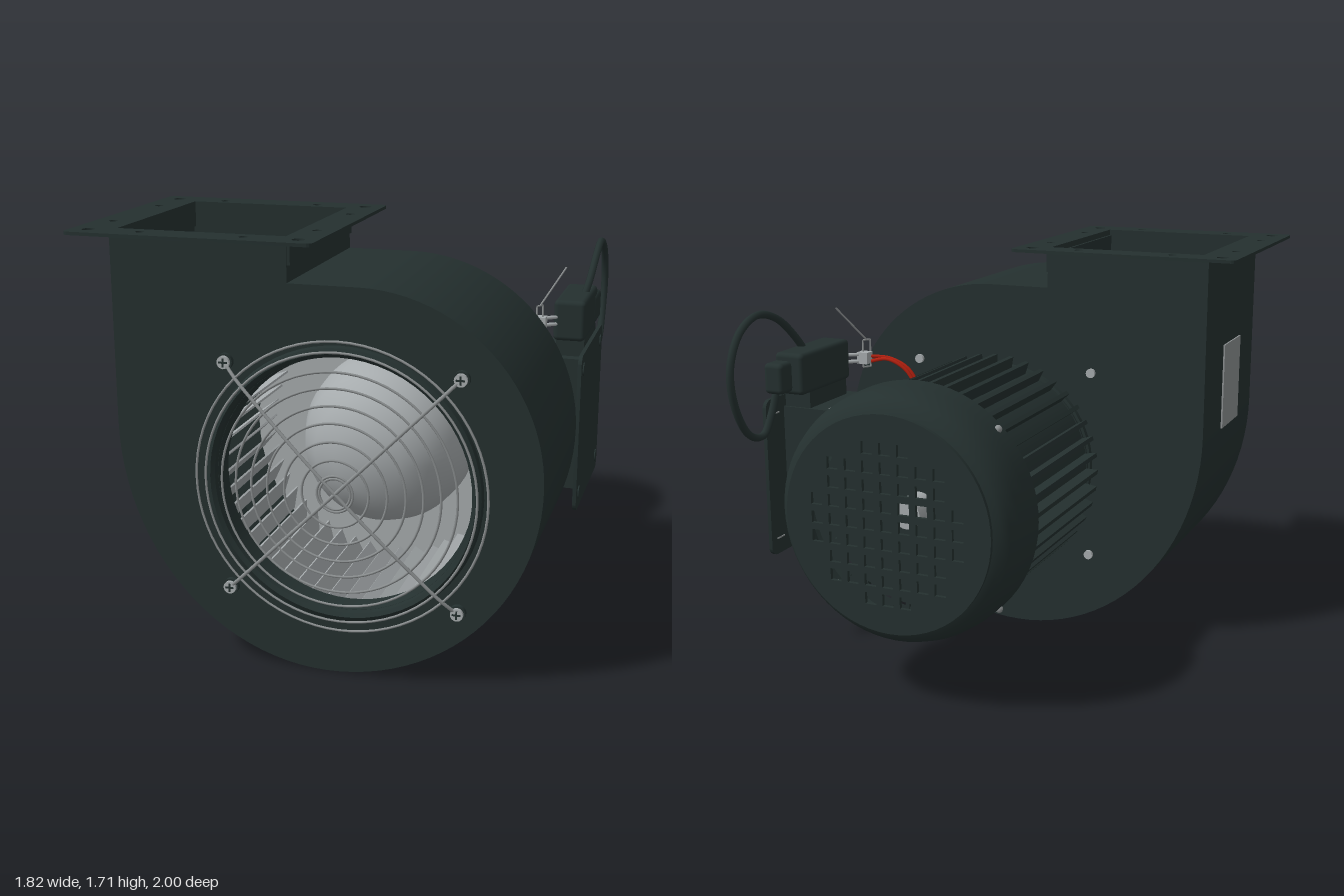
import * as THREE from 'three';
import { toCreasedNormals } from 'three/addons/utils/BufferGeometryUtils.js';
import { RoundedBoxGeometry } from 'three/addons/geometries/RoundedBoxGeometry.js';

const AX = 0.137, AY = 0.77; // shared axis of impeller and motor
const V2 = (x, y) => new THREE.Vector2(x, y);
const V3 = (x, y, z) => new THREE.Vector3(x, y, z);

export function createModel() {
  const root = new THREE.Group();
  const mat = (name, color) => {
    const m = new THREE.MeshStandardMaterial({ color, side: THREE.DoubleSide });
    m.name = name;
    return m;
  };
  const dark = mat('dark enamel', 0x24302f);
  const steel = mat('bright steel', 0xa6abad);
  const wire = mat('wire steel', 0x8b8f90);
  const red = mat('red insulation', 0xb3200f);

  const add = (parent, name, geo, material, x = 0, y = 0, z = 0) => {
    const m = new THREE.Mesh(geo, material);
    m.name = name;
    m.position.set(x, y, z);
    parent.add(m);
    return m;
  };
  const group = (name, x = 0, y = 0, z = 0) => {
    const g = new THREE.Group();
    g.name = name;
    g.position.set(x, y, z);
    root.add(g);
    return g;
  };
  const extrude = (shape, depth, segs = 24) => toCreasedNormals(
    new THREE.ExtrudeGeometry(shape, { depth, bevelEnabled: false, curveSegments: segs }), 0.5);
  // profile of [radius, z] turned about the z axis
  const turned = (pts, segs = 64) => toCreasedNormals(
    new THREE.LatheGeometry(pts.map(p => V2(...p)), segs).rotateX(Math.PI / 2), 0.5);
  const disc = (r, d, segs = 24) => new THREE.CylinderGeometry(r, r, d, segs).rotateX(Math.PI / 2);
  const tube = (pts, r, n = 32) => new THREE.TubeGeometry(new THREE.CatmullRomCurve3(pts.map(p => V3(...p))), n, r, 8);
  const circle = (x, y, r) => new THREE.Path().absarc(x, y, r, 0, Math.PI * 2, true);
  const rect = (x0, y0, x1, y1, P = THREE.Path) =>
    new P([V2(x0, y0), V2(x1, y0), V2(x1, y1), V2(x0, y1)]);
  const roundRect = (w, h, r) => {
    const s = new THREE.Shape(), a = w / 2 - r, b = h / 2 - r;
    [[a, b], [-a, b], [-a, -b], [a, -b]].forEach(([x, y], i) =>
      s.absarc(x, y, r, i * Math.PI / 2, (i + 1) * Math.PI / 2, false));
    return s;
  };

  // ---- scroll housing ----
  const housing = group('scrollHousing');
  const outline = [V2(-0.07, 1.68), V2(-0.07, 1.535)];
  const arc = (cx, cy, rx, ry, from) => {
    for (let i = 0; i <= 24; i++) {
      const a = from - (i / 24) * Math.PI / 2;
      outline.push(V2(cx + rx * Math.cos(a), cy + ry * Math.sin(a)));
    }
  };
  arc(0.2, 0.83, 0.7, 0.705, Math.PI / 2);
  arc(0.07, 0.83, 0.83, 0.83, 0);
  arc(0.07, 0.95, 0.845, 0.95, -Math.PI / 2);
  outline.push(V2(-0.775, 1.68));
  const clean = outline.filter((p, i) => !i || p.distanceTo(outline[i - 1]) > 1e-4);
  const inner = clean.map((p, i) => {
    const a = clean[Math.max(i - 1, 0)], b = clean[Math.min(i + 1, clean.length - 1)];
    const t = b.clone().sub(a).normalize();
    return V2(p.x + t.y * 0.015, p.y - t.x * 0.015);
  });
  add(housing, 'scrollWall', extrude(new THREE.Shape([...clean, ...inner.reverse()]), 0.75), dark, 0, 0, 0.115);
  const front = new THREE.Shape(clean);
  front.holes.push(circle(AX, AY, 0.5));
  add(housing, 'frontPlate', extrude(front, 0.015, 48), dark, 0, 0, 0.865);
  add(housing, 'backPlate', extrude(new THREE.Shape(clean), 0.015), dark, 0, 0, 0.1);
  add(housing, 'inletRing', turned([[0.545, 0.88], [0.54, 0.9], [0.52, 0.912], [0.505, 0.9], [0.497, 0.86], [0.49, 0.8]]), dark, AX, AY);
  add(housing, 'namePlate', new THREE.BoxGeometry(0.008, 0.37, 0.26), wire, -0.778, 1.105, 0.51);
  for (const sx of [-1, 1]) for (const sy of [-1, 1])
    add(housing, 'backScrew', disc(0.02, 0.02, 12), steel, AX + sx * 0.41, AY + sy * 0.41, 0.095);

  // ---- outlet collar and flange ----
  const outlet = group('outlet');
  const collar = rect(-0.758, -0.875, -0.058, -0.115, THREE.Shape);
  collar.holes.push(rect(-0.745, -0.865, -0.075, -0.13));
  add(outlet, 'collar', extrude(collar, 0.095).rotateX(-Math.PI / 2), dark, 0, 1.6);
  const flange = roundRect(0.975, 0.99, 0.025);
  flange.holes.push(rect(-0.3225, -0.365, 0.3475, 0.37));
  for (const sx of [-1, 1]) for (const sy of [-1, 1])
    for (const [x, y, r] of [[0.415, 0.42, 0.025], [0.205, 0.42, 0.018], [0.415, 0.21, 0.018]])
      flange.holes.push(circle(sx * x, sy * y, r));
  add(outlet, 'flange', extrude(flange, 0.013, 10).rotateX(-Math.PI / 2), dark, -0.4225, 1.692, 0.5);

  // ---- impeller ----
  const impeller = group('impeller', AX, AY);
  add(impeller, 'backDisc', disc(0.6, 0.015, 64), steel, 0, 0, 0.16);
  add(impeller, 'frontRing', turned([[0.6, 0.79], [0.6, 0.81], [0.5, 0.81]]), steel);
  add(impeller, 'hubDome', turned([[0.36, 0.165], [0.35, 0.28], [0.31, 0.4], [0.24, 0.49], [0.14, 0.55], [0.001, 0.57]]), steel);
  for (let i = 0; i < 48; i++) {
    const a = i / 48 * Math.PI * 2;
    const b = add(impeller, 'blade', new THREE.BoxGeometry(0.1, 0.008, 0.64), steel, 0.555 * Math.cos(a), 0.555 * Math.sin(a), 0.485);
    b.rotation.z = a + 0.75;
  }

  // ---- wire guard ----
  const guard = group('inletGuard', AX, AY);
  const domeZ = r => 0.925 + 0.045 * (1 - (r / 0.57) ** 2);
  for (const r of [0.06, 0.07, 0.13, 0.2, 0.27, 0.335, 0.4, 0.46, 0.53, 0.57])
    add(guard, 'guardRing', new THREE.TorusGeometry(r, 0.005, 6, 72), wire, 0, 0, domeZ(r));
  for (const s of [-1, 1]) {
    const pts = [-0.64, -0.57, -0.4, -0.2, 0, 0.2, 0.4, 0.57, 0.64].map(r =>
      [r * Math.SQRT1_2, s * r * Math.SQRT1_2, Math.abs(r) > 0.6 ? 0.897 : domeZ(r)]);
    add(guard, 'guardSpoke', tube(pts, 0.007), wire);
    for (const t of [-1, 1]) {
      add(guard, 'screwWasher', disc(0.032, 0.02), dark, s * 0.455, t * 0.455, 0.888);
      add(guard, 'screwHead', disc(0.025, 0.025), steel, s * 0.455, t * 0.455, 0.898);
      for (const [w, h] of [[0.034, 0.007], [0.007, 0.034]])
        add(guard, 'screwSlot', new THREE.BoxGeometry(w, h, 0.004), dark, s * 0.455, t * 0.455, 0.911);
    }
  }

  // ---- motor ----
  const motor = group('motor', AX, AY);
  add(motor, 'mountRing', turned([[0.3, 0.1], [0.42, 0.1], [0.42, 0.075], [0.4, 0.07], [0.415, 0.06], [0.415, 0.05], [0.3, 0.05]]), dark);
  add(motor, 'spigot', disc(0.395, 0.05, 64), steel, 0, 0, 0.035);
  add(motor, 'motorCore', disc(0.425, 0.74, 64), dark, 0, 0, -0.35);
  for (let i = 0; i < 40; i++) {
    const a = i / 40 * Math.PI * 2;
    add(motor, 'coolingFin', new THREE.BoxGeometry(0.08, 0.018, 0.73), dark,
      0.437 * Math.cos(a), 0.437 * Math.sin(a), -0.35).rotation.z = a;
  }
  add(motor, 'fanCover', turned([[0.43, -0.985], [0.46, -0.97], [0.485, -0.94], [0.502, -0.89], [0.51, -0.82], [0.51, -0.725], [0.5, -0.71], [0.44, -0.71]].reverse()), dark);
  const grille = new THREE.Shape().absarc(0, 0, 0.435, 0, Math.PI * 2, false);
  for (let i = -4; i <= 4; i++) for (let j = -4; j <= 4; j++) {
    const x = i * 0.075, y = j * 0.075;
    if (Math.hypot(x, y) < 0.33) grille.holes.push(rect(x - 0.024, y - 0.024, x + 0.024, y + 0.024));
  }
  add(motor, 'coverGrille', extrude(grille, 0.016, 32), dark, 0, 0, -1);
  add(motor, 'shaftEnd', disc(0.06, 0.12), steel, 0, 0, -0.78);
  for (let i = 0; i < 4; i++) {
    const a = Math.PI / 4 + i * Math.PI / 2;
    add(motor, 'coverScrew', new THREE.SphereGeometry(0.016, 10, 6), wire, 0.51 * Math.cos(a), 0.51 * Math.sin(a), -0.765);
  }

  // ---- terminal mount on the right-hand side ----
  const terminal = group('terminalMount');
  add(terminal, 'standoff', new THREE.BoxGeometry(0.325, 0.58, 0.36), dark, 0.7225, 0.77, -0.33);
  add(terminal, 'mountPlate', extrude(roundRect(0.655, 0.68, 0.04), 0.016, 8).rotateY(Math.PI / 2), dark, 0.885, 0.77, -0.318);
  for (const z of [-0.055, -0.58]) for (const y of [0.5, 1.045]) {
    add(terminal, 'plateScrew', new THREE.CylinderGeometry(0.028, 0.028, 0.006, 20).rotateZ(Math.PI / 2), dark, 0.903, y, z);
    add(terminal, 'plateScrewSlot', new THREE.BoxGeometry(0.003, 0.006, 0.055), wire, 0.882, y, z);
  }
  add(terminal, 'switchBox', new RoundedBoxGeometry(0.135, 0.175, 0.39, 3, 0.02), dark, 0.815, 1.215, -0.375);
  add(terminal, 'switchBoxFoot', new THREE.BoxGeometry(0.12, 0.1, 0.3), dark, 0.82, 1.09, -0.35);
  add(terminal, 'cableGland', new RoundedBoxGeometry(0.09, 0.13, 0.16, 3, 0.02), dark, 0.845, 1.205, -0.565);
  add(terminal, 'cable', tube([[0.84, 1.26, -0.38], [0.86, 1.34, -0.43], [0.872, 1.44, -0.55], [0.872, 1.477, -0.7], [0.872, 1.42, -0.83],
    [0.872, 1.29, -0.9], [0.87, 1.13, -0.88], [0.87, 1.0, -0.79], [0.865, 0.98, -0.7], [0.86, 1.06, -0.64], [0.85, 1.18, -0.6]], 0.016, 80), dark);

  // ---- wiring ----
  const wiring = group('wiring');
  for (const d of [0, 0.025])
    add(wiring, 'redWire', tube([[0.46, 1.08, -0.065 - d], [0.52, 1.17, -0.075 - d], [0.6, 1.21, -0.085 - d], [0.69, 1.22 - d, -0.12]], 0.008), red);
  add(wiring, 'connector', new THREE.BoxGeometry(0.05, 0.05, 0.05), steel, 0.7, 1.215, -0.135);
  for (const d of [-0.015, 0.015])
    add(wiring, 'lead', tube([[0.7, 1.215 + d, -0.14], [0.74, 1.215 + d, -0.17], [0.78, 1.215 + d, -0.2]], 0.008, 12), steel);
  const tie = [[0.69, 1.17, -0.1], [0.69, 1.29, -0.1], [0.71, 1.29, -0.13], [0.71, 1.17, -0.13], [0.69, 1.17, -0.1]];
  for (let i = 0; i < 4; i++) add(wiring, 'tieLoop', tube([tie[i], tie[i + 1]], 0.004, 2), wire);
  add(wiring, 'tieTail', tube([[0.7, 1.29, -0.115], [0.79, 1.44, -0.215]], 0.004, 4), wire);

  return root;
}
